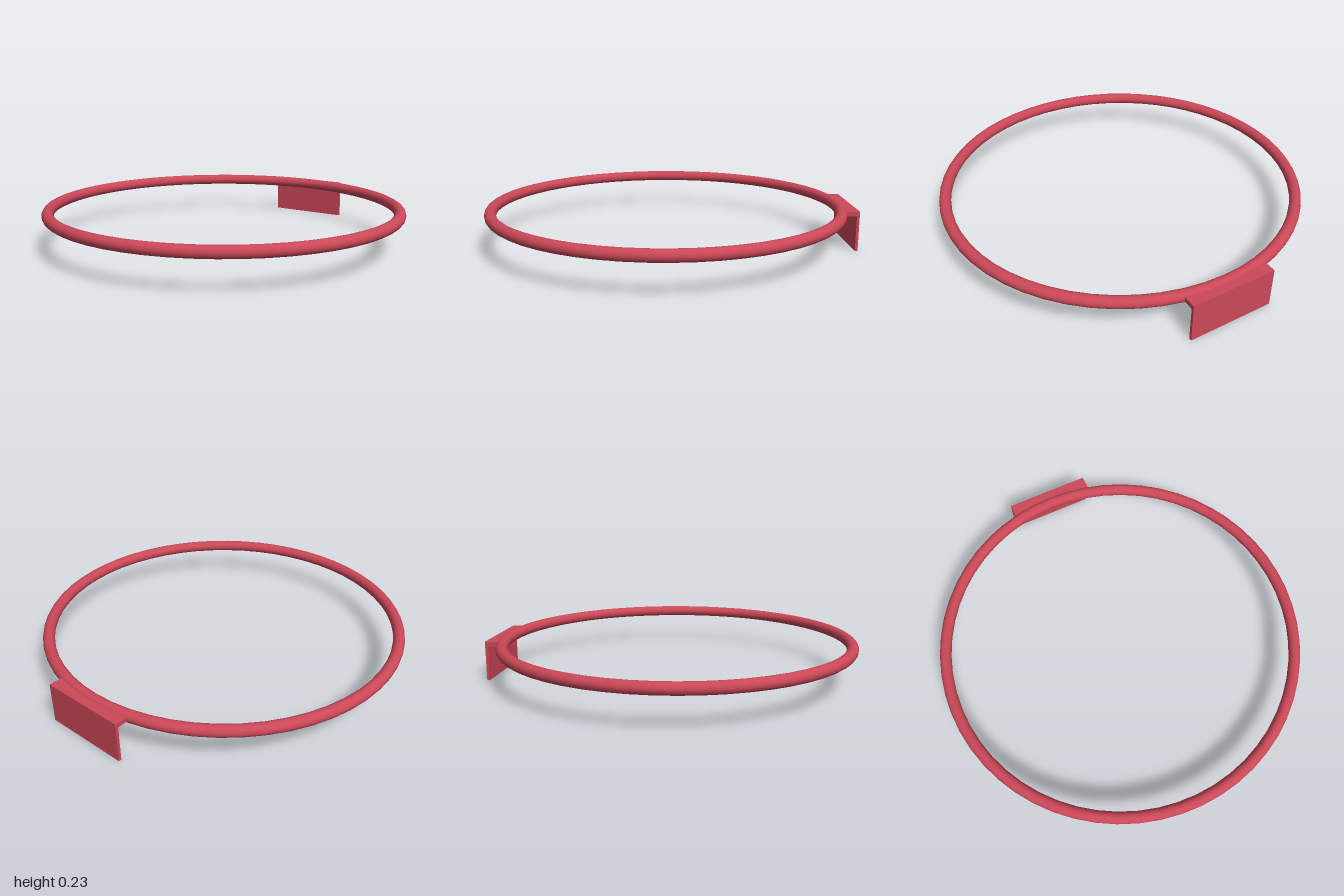
import * as THREE from 'three';

export function createModel() {
  const group = new THREE.Group();
  const material = new THREE.MeshStandardMaterial({ color: 0xcc4858 });
  const ringRadius = 0.95, tube = 0.031, ringZ = 0.02, ringY = 0.2;
  const halfWidth = 0.23, plateThickness = 0.015, topY = 0.216;

  const add = (name, geometry, x, y, z) => {
    const mesh = new THREE.Mesh(geometry, material);
    mesh.name = name;
    mesh.position.set(x, y, z);
    group.add(mesh);
  };

  // Round hoop lying flat
  const hoop = new THREE.TorusGeometry(ringRadius, tube, 16, 56).rotateX(-Math.PI / 2);
  add('hoop', hoop, 0, ringY, ringZ);

  // Upright mounting plate hanging behind the hoop
  const plate = new THREE.BoxGeometry(halfWidth * 2, topY, plateThickness);
  add('mountingPlate', plate, 0, topY / 2, -1 + plateThickness / 2);

  // Horizontal flange whose inner edge follows the hoop's centre line
  const spread = Math.asin(halfWidth / ringRadius);
  const shape = new THREE.Shape();
  shape.absarc(0, -ringZ, ringRadius, Math.PI / 2 - spread, Math.PI / 2 + spread, false);
  shape.lineTo(-halfWidth, 1 - plateThickness);
  shape.lineTo(halfWidth, 1 - plateThickness);
  shape.closePath();
  const depth = 0.026;
  const flange = new THREE.ExtrudeGeometry(shape, { depth, bevelEnabled: false, curveSegments: 16 });
  flange.rotateX(-Math.PI / 2);
  add('mountingFlange', flange, 0, topY - depth, 0);

  return group;
}
